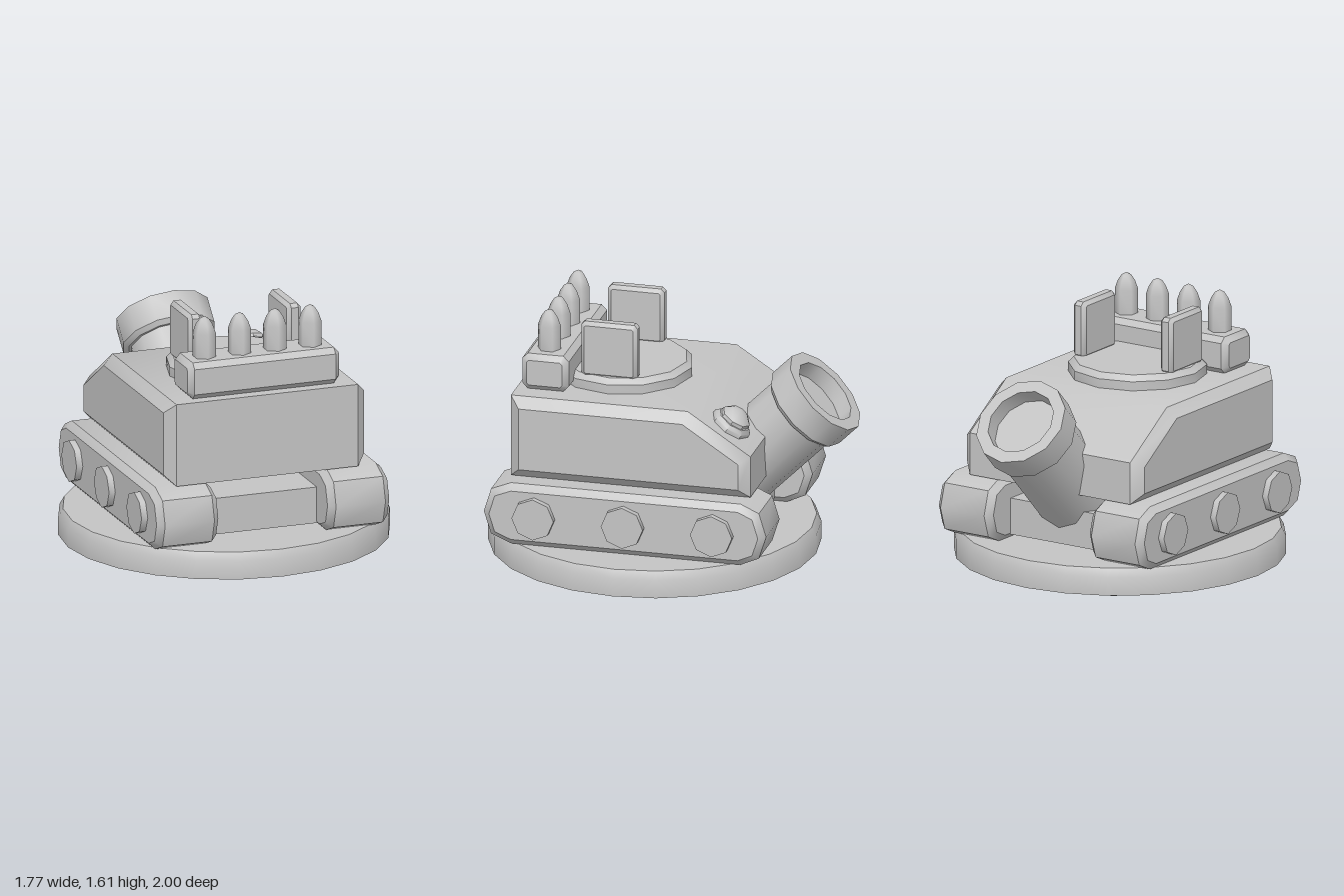
import * as THREE from 'three';
import { toCreasedNormals } from 'three/addons/utils/BufferGeometryUtils.js';

export function createModel() {
  const model = new THREE.Group();
  model.name = 'mortarVehicle';
  // Double sided for the open shell of the base
  const grey = new THREE.MeshStandardMaterial({ color: 0xc4c4c4, side: THREE.DoubleSide });
  grey.name = 'plain grey';

  const add = (name, geometry, x = 0, y = 0, z = 0, crease = 0.7) => {
    const mesh = new THREE.Mesh(toCreasedNormals(geometry, crease), grey);
    mesh.name = name;
    mesh.position.set(x, y, z);
    model.add(mesh);
    return mesh;
  };

  // Turned part from [radius, height] pairs
  const turned = (points, sides) =>
    new THREE.LatheGeometry(points.map(([r, h]) => new THREE.Vector2(r, h)), sides);

  // Side profile of [z, y] pairs spread across x, with chamfered ends
  const slab = (profile, width, bevel) => {
    const shape = new THREE.Shape(profile.map(([z, y]) => new THREE.Vector2(z, y)));
    const geometry = new THREE.ExtrudeGeometry(shape, {
      depth: width - 2 * bevel, bevelThickness: bevel, bevelSize: bevel,
      bevelOffset: -bevel, bevelSegments: 1,
    });
    geometry.translate(0, 0, bevel - width / 2);
    return geometry.rotateY(-Math.PI / 2);
  };

  // Box with every edge chamfered
  const chamferBox = (width, height, depth, cut) => {
    const h = height / 2, d = depth / 2;
    return slab([
      [d, cut - h], [d, h - cut], [d - cut, h], [cut - d, h],
      [-d, h - cut], [-d, cut - h], [cut - d, -h], [d - cut, -h],
    ], width, cut);
  };

  const hub = (radius, length) =>
    new THREE.CylinderGeometry(radius, radius, length, 8).rotateZ(Math.PI / 2);

  // Round base: a shell open underneath, with a bevelled top rim
  add('base', turned([[0.885, 0.24], [0.885, 0.34], [0.86, 0.385], [0, 0.385]], 24), 0, 0, 0.115);

  // Tracks with wheel hubs
  const trackProfile = [
    [0.89, 0.555], [0.85, 0.685], [0.74, 0.73], [-0.52, 0.73], [-0.62, 0.685],
    [-0.66, 0.555], [-0.62, 0.43], [-0.52, 0.385], [0.74, 0.385], [0.85, 0.43],
  ];
  for (const side of [-1, 1]) {
    add('track', slab(trackProfile, 0.35, 0.035), side * 0.485);
    for (const z of [0.605, 0.115, -0.375]) {
      add('wheelHub', hub(0.115, 0.06), side * 0.665, 0.555, z, 0.9);
    }
  }
  add('chassis', new THREE.BoxGeometry(0.7, 0.2, 1.15), 0, 0.513, 0.115);

  // Hull with a sloping rear deck
  const hullProfile = [
    [0.77, 0.73], [0.77, 1.185], [-0.2, 1.185], [-0.545, 0.96], [-0.545, 0.73],
  ];
  add('hull', slab(hullProfile, 1.14, 0.055));

  // Turret ring and upright fins
  add('turretRing', turned([[0, 1.18], [0.37, 1.18], [0.37, 1.235], [0.34, 1.265], [0, 1.265]], 12), 0, 0, 0.28);
  for (const side of [-1, 1]) {
    add('fin', chamferBox(0.08, 0.31, 0.31, 0.02), side * 0.28, 1.405, 0.285);
  }

  // Missile rack
  add('missileRack', chamferBox(0.86, 0.2, 0.255, 0.03), 0, 1.287, 0.61);
  const missile = [[0.062, 1.37], [0.062, 1.52], [0.046, 1.565], [0.025, 1.597], [0, 1.61]];
  for (const x of [-0.3, -0.1, 0.1, 0.3]) {
    add('missile', turned(missile, 6), x, 0, 0.615, 1.1);
  }

  // Domed sensor on the rear slope
  const sensor = [
    [0.113, -0.01], [0.113, 0.025], [0.095, 0.045], [0.085, 0.045],
    [0.085, 0.065], [0.05, 0.097], [0, 0.11],
  ];
  add('sensor', turned(sensor, 8), 0.34, 1.06, -0.388).rotation.x = -0.575;

  // Long barrel passing through the body, open at the muzzle
  const barrel = [
    [0, 0], [0.19, 0], [0.22, 0.035], [0.22, 0.155], [0.258, 0.17], [0.258, 0.34],
    [0.22, 0.355], [0.22, 1.29], [0.235, 1.29], [0.258, 1.315], [0.258, 1.464],
    [0.19, 1.464], [0.19, 1.37], [0, 1.37],
  ];
  add('barrel', turned(barrel, 12), 0, 0.135, 0.215).rotation.x = -Math.PI / 4;
  add('barrelPivot', hub(0.11, 0.57), 0, 0.262, 0.01, 0.9);

  return model;
}
